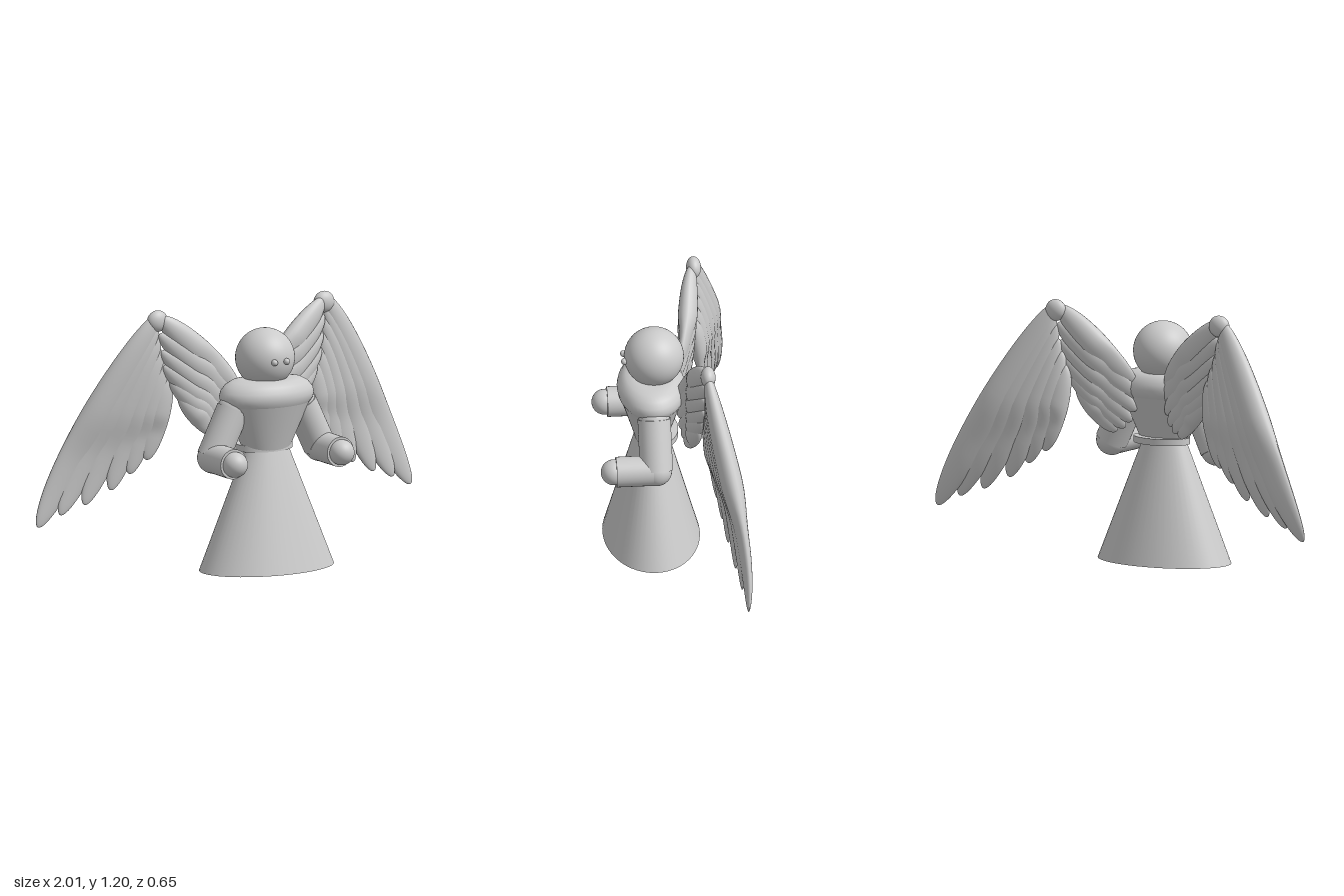
import * as THREE from 'three';

const grey = new THREE.MeshStandardMaterial({ color: 0xcccccc });
const V = (x, y, z) => new THREE.Vector3(x, y, z);
const lerp = THREE.MathUtils.lerp;
const BODY_Z = 0.073, FLATTEN = 0.665;

function add(parent, name, geometry, x = 0, y = 0, z = 0) {
  const mesh = new THREE.Mesh(geometry, grey);
  mesh.name = name;
  mesh.position.set(x, y, z);
  parent.add(mesh);
  return mesh;
}

// Round body part squashed from front to back
function oval(parent, name, points) {
  const geometry = new THREE.LatheGeometry(points.map(p => new THREE.Vector2(...p)), 48);
  add(parent, name, geometry, 0, 0, BODY_Z).scale.z = FLATTEN;
}

// Straight round limb between two points
function limb(parent, name, a, b, radius) {
  const mesh = add(parent, name, new THREE.CylinderGeometry(radius, radius, a.distanceTo(b), 32));
  mesh.position.copy(a).lerp(b, 0.5);
  mesh.quaternion.setFromUnitVectors(V(0, 1, 0), b.clone().sub(a).normalize());
}

// Feather: long ellipsoid, plump at its root, thinner at its tip, bowed backward
function feather(parent, name, root, tip, normal, width, thickness, bow) {
  const geometry = new THREE.SphereGeometry(1, 24, 32);
  const p = geometry.attributes.position;
  const half = root.distanceTo(tip) / 2;
  for (let i = 0; i < p.count; i++) {
    const t = (1 - p.getY(i)) / 2;
    const plump = lerp(1, 0.6, THREE.MathUtils.smoothstep(t, 0.45, 0.7));
    const back = bow * 6.75 * t * t * (1 - t);
    p.setXYZ(i, p.getX(i) * width, p.getY(i) * half, p.getZ(i) * thickness * plump - back);
  }
  geometry.computeVertexNormals();
  const up = root.clone().sub(tip).normalize();
  const side = up.clone().cross(normal).normalize();
  const front = side.clone().cross(up);
  const mesh = add(parent, name, geometry);
  mesh.quaternion.setFromRotationMatrix(new THREE.Matrix4().makeBasis(side, up, front));
  mesh.position.copy(root).lerp(tip, 0.5);
}

// Row of feathers [rootX, rootY, tipX, tipY] lying in a sloped plane
function featherRow(parent, name, s, rows, slopeX, slopeY, width, thickness, bow) {
  const at = (x, y) => V(s * x, y, -0.15 + slopeX * (x - 0.45) + slopeY * (y - 1.17));
  const normal = V(-s * slopeX, -slopeY, 1).normalize();
  rows.forEach(([rx, ry, tx, ty], i) => {
    const k = 1 - 0.05 * i;
    feather(parent, name, at(rx, ry), at(tx, ty), normal, width * k, thickness * k, bow * (1 - 0.17 * i));
  });
}

const OUTER = [
  [0.45, 1.18, 0.997, 0.22], [0.45, 1.13, 0.89, 0.27], [0.44, 1.08, 0.775, 0.31],
  [0.43, 1.02, 0.65, 0.37], [0.41, 0.96, 0.56, 0.44], [0.39, 0.9, 0.48, 0.5],
];
const INNER = [
  [0.44, 1.17, 0.08, 0.82], [0.44, 1.09, 0.07, 0.76], [0.43, 1.01, 0.08, 0.7],
  [0.42, 0.94, 0.1, 0.65], [0.39, 0.87, 0.13, 0.62], [0.35, 0.8, 0.17, 0.6],
];

function wing(parent, s) {
  const group = new THREE.Group();
  group.name = s > 0 ? 'leftWing' : 'rightWing';
  parent.add(group);
  featherRow(group, 'outerFeather', s, OUTER, -0.17, 0.06, 0.082, 0.052, 0.03);
  featherRow(group, 'innerFeather', s, INNER, -0.29, 0, 0.065, 0.045, 0.022);
  add(group, 'wingJoint', new THREE.SphereGeometry(1, 32, 24), s * 0.445, 1.15, -0.155)
    .scale.set(0.052, 0.05, 0.034);
}

function arm(parent, s) {
  const group = new THREE.Group();
  group.name = s > 0 ? 'leftArm' : 'rightArm';
  parent.add(group);
  const shoulder = V(s * 0.18, 0.75, 0.073);
  const elbow = V(s * 0.285, 0.535, 0.07);
  const wrist = V(s * 0.285, 0.535, 0.255);
  limb(group, 'upperArm', shoulder, elbow, 0.076);
  limb(group, 'forearm', elbow, wrist, 0.07);
  add(group, 'elbow', new THREE.SphereGeometry(0.072, 32, 24), elbow.x, elbow.y, elbow.z);
  add(group, 'shoulder', new THREE.SphereGeometry(0.072, 32, 24), shoulder.x, shoulder.y, shoulder.z);
  add(group, 'hand', new THREE.SphereGeometry(0.059, 32, 24), wrist.x, wrist.y, 0.266);
}

export function createModel() {
  const model = new THREE.Group();
  model.name = 'wingedFigure';

  // Closed skirt cone
  const skirt = new THREE.CylinderGeometry(0.112, 0.335, 0.55, 48);
  add(model, 'skirt', skirt, 0, 0.275, BODY_Z).scale.z = FLATTEN;

  // Belt, bodice and rounded collar
  const belt = new THREE.CylinderGeometry(0.14, 0.14, 0.03, 48);
  add(model, 'belt', belt, 0, 0.563, 0.05).scale.z = 0.72;
  oval(model, 'bodice', [[0.115, 0.55], [0.217, 0.77]]);
  oval(model, 'collar', [[0.217, 0.765], [0.23, 0.782], [0.236, 0.805], [0.229, 0.83],
    [0.207, 0.856], [0.175, 0.873], [0.13, 0.881], [0, 0.882]]);

  // Head and eyes
  add(model, 'head', new THREE.SphereGeometry(0.137, 48, 32), 0, 0.973, 0.06);
  for (const s of [1, -1]) {
    add(model, 'eye', new THREE.SphereGeometry(0.015, 20, 14), s * 0.032, 0.973, 0.198);
    arm(model, s);
    wing(model, s);
  }
  return model;
}
